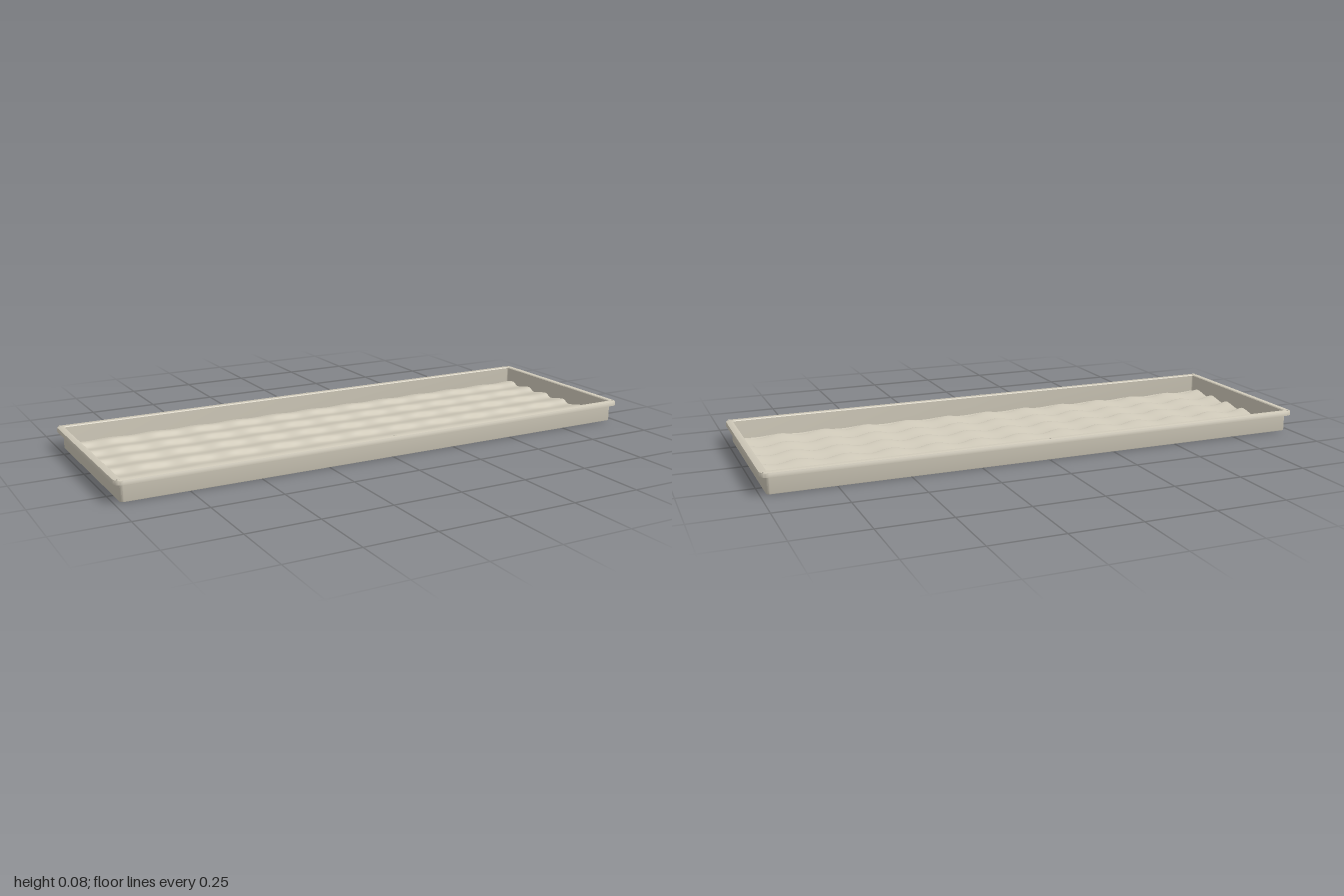
import * as THREE from 'three';
import { toCreasedNormals } from 'three/addons/utils/BufferGeometryUtils.js';

const HALF_X = 0.98, HALF_Z = 0.33, CORNER = 0.012;

// Sweeps a closed [outward offset, y] profile around a rounded rectangle.
function sweepFrame(profile, steps = 5) {
  const pos = [], index = [];
  const corners = [[1, 1], [-1, 1], [-1, -1], [1, -1]];
  const n = corners.length * (steps + 1), m = profile.length;
  corners.forEach(([sx, sz], c) => {
    for (let s = 0; s <= steps; s++) {
      const a = (c + s / steps) * Math.PI / 2;
      for (const [d, y] of profile) {
        const r = CORNER + d * 0.8, k = d * 0.2;
        pos.push(
          sx * (HALF_X - CORNER + k) + r * Math.cos(a), y,
          sz * (HALF_Z - CORNER + k) + r * Math.sin(a));
      }
    }
  });
  for (let j = 0; j < n; j++) {
    for (let i = 0; i < m; i++) {
      const j2 = (j + 1) % n, i2 = (i + 1) % m;
      const a = j * m + i, b = j * m + i2, c = j2 * m + i, d = j2 * m + i2;
      index.push(a, b, c, b, d, c);
    }
  }
  const g = new THREE.BufferGeometry();
  g.setAttribute('position', new THREE.Float32BufferAttribute(pos, 3));
  g.setIndex(index);
  return toCreasedNormals(g, 0.6);
}

// Height of the floor: overlapping courses with a steep front edge, rippled along x.
function floorHeight(x, z) {
  const pitch = 0.113, wave = Math.cos(x * Math.PI * 2 / 0.163);
  const t = (z + 0.26 - 0.008 * wave) / pitch;
  const u = t - Math.floor(t);
  const fall = 0.26;
  const ramp = u < 1 - fall ? u / (1 - fall) : (1 - u) / fall;
  const smooth = ramp * ramp * (3 - 2 * ramp);
  return 0.004 + 0.013 * smooth + 0.0035 * (1 + wave);
}

export function createModel() {
  const tray = new THREE.Group();
  tray.name = 'tray';
  const stone = new THREE.MeshStandardMaterial({ color: 0xcfc9b9 });
  stone.name = 'warm grey';
  const sheet = new THREE.MeshStandardMaterial({ color: 0xcfc9b9, side: THREE.DoubleSide });
  sheet.name = 'warm grey sheet';

  // Walls with the turned-down rim
  const walls = new THREE.Mesh(sweepFrame([
    [-0.004, 0], [-0.001, 0.001], [0, 0.004], [0, 0.072],
    [0.016, 0.072], [0.016, 0.063], [0.02, 0.063], [0.02, 0.074],
    [0.0185, 0.0775], [0.015, 0.079], [-0.003, 0.079], [-0.006, 0.076], [-0.006, 0],
  ]), stone);
  walls.name = 'wallsAndRim';
  tray.add(walls);

  // Rippled floor
  const g = new THREE.PlaneGeometry(1.95, 0.65, 200, 130).rotateX(-Math.PI / 2);
  const p = g.attributes.position;
  for (let i = 0; i < p.count; i++) p.setY(i, floorHeight(p.getX(i), p.getZ(i)));
  g.computeVertexNormals();
  const floor = new THREE.Mesh(g, sheet);
  floor.name = 'rippledFloor';
  tray.add(floor);

  // Small nibs on the rim, at the corners and the middle of the long sides
  for (const x of [-0.985, 0, 0.985]) {
    for (const z of [-0.337, 0.337]) {
      const nib = new THREE.Mesh(new THREE.CylinderGeometry(0.005, 0.006, 0.003, 16), stone);
      nib.position.set(x, 0.0795, z);
      nib.name = 'rimNib';
      tray.add(nib);
    }
  }
  return tray;
}
